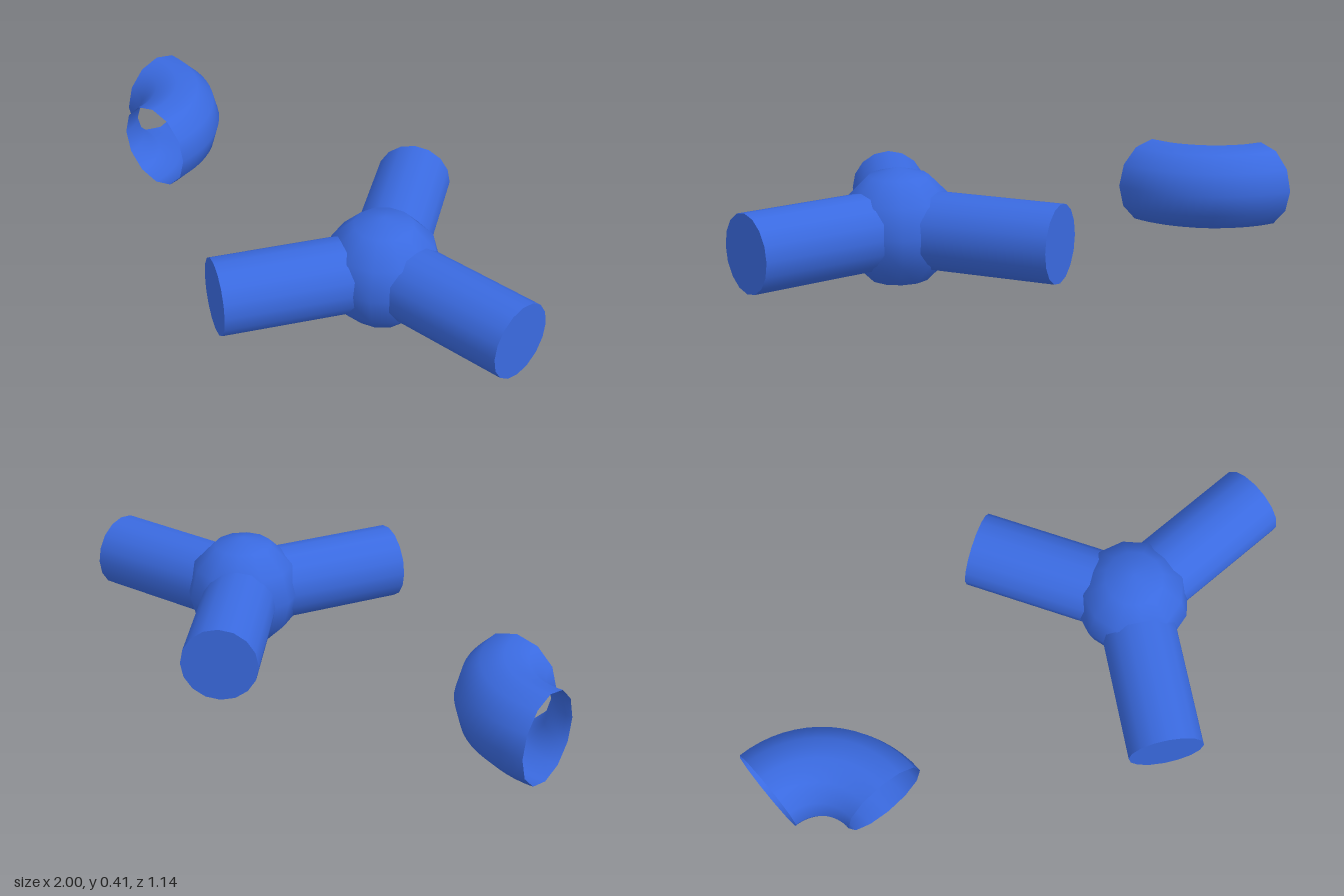
import * as THREE from 'three';

export function createModel() {
  const model = new THREE.Group();
  model.name = 'pipeFittings';
  const material = new THREE.MeshStandardMaterial({ color: 0x3a6ae0 });
  const openMaterial = material.clone();
  openMaterial.side = THREE.DoubleSide;
  const midY = 0.205;

  const add = (parent, name, geometry, mat = material) => {
    const mesh = new THREE.Mesh(geometry, mat);
    mesh.name = name;
    parent.add(mesh);
    return mesh;
  };

  // Three-way joint: a round hub with three capped arms
  const joint = new THREE.Group();
  joint.name = 'threeWayJoint';
  joint.position.set(0.417, midY, 0);
  model.add(joint);
  add(joint, 'hub', new THREE.SphereGeometry(0.205, 12, 6));

  const armLength = 0.583;
  const armGeometry = new THREE.CylinderGeometry(0.133, 0.133, armLength, 16)
    .rotateZ(-Math.PI / 2)
    .translate(armLength / 2, 0, 0);
  ['leftArm', 'backArm', 'frontArm'].forEach((name, i) => {
    add(joint, name, armGeometry).rotation.y = (i * Math.PI * 2) / 3;
  });

  // Quarter-turn elbow, open at both ends
  const elbow = add(
    model,
    'elbow',
    new THREE.TorusGeometry(0.284, 0.157, 12, 16, Math.PI / 2).rotateX(-Math.PI / 2),
    openMaterial
  );
  elbow.position.set(-1, midY, 0);

  return model;
}
